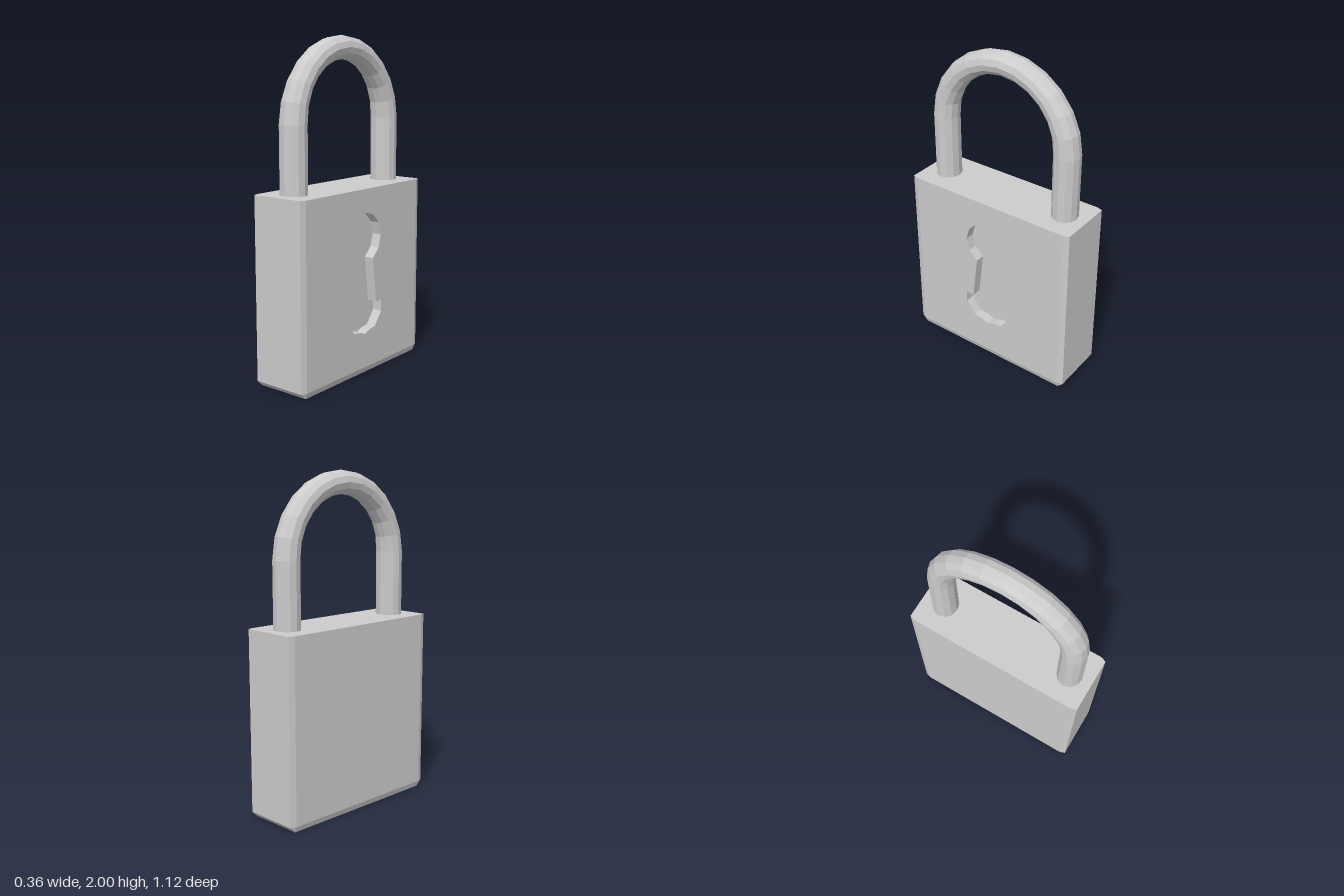
import * as THREE from 'three';

const material = new THREE.MeshStandardMaterial({ color: 0xcccccc, flatShading: true });

// Body half sizes, bevel insets and recess depth
const X = 0.18, Z = 0.56, XI = 0.168, ZI = 0.525, BEVEL = 0.035, TOP = 1.12, DEPTH = 0.06;

// Collects triangles from 3-number corners, dropping collapsed ones
function surface() {
  const data = [];
  const same = (a, b) => a.every((v, i) => v === b[i]);
  const tri = (a, b, c) => {
    if (!same(a, b) && !same(b, c) && !same(a, c)) data.push(...a, ...b, ...c);
  };
  const quad = (a, b, c, d) => { tri(a, b, c); tri(a, c, d); };
  const geometry = () => {
    const g = new THREE.BufferGeometry();
    g.setAttribute('position', new THREE.Float32BufferAttribute(data, 3));
    g.computeVertexNormals();
    return g;
  };
  return { tri, quad, geometry };
}

function mesh(name, geometry) {
  const m = new THREE.Mesh(geometry, material);
  m.name = name;
  return m;
}

// Keyhole outline, counterclockwise, as right half plus its mirror
function keyholeOutline() {
  const half = [[0, 0.245], [0.045, 0.262], [0.1, 0.268], [0.163, 0.35], [0.163, 0.42], [0.11, 0.42]];
  for (let deg = -60; deg <= 90; deg += 30) {
    const a = THREE.MathUtils.degToRad(deg);
    half.push([0.153 * Math.cos(a), 0.827 + 0.153 * Math.sin(a)]);
  }
  const mirrored = half.slice(1, -1).reverse().map(([u, y]) => [-u, y]);
  return [...half, ...mirrored].map(([u, y]) => new THREE.Vector2(u, y));
}

// Bevelled shell, without the face that holds the keyhole
function bodyShell() {
  const s = surface();
  const ring = [[X, ZI], [X, -ZI], [XI, -Z], [-XI, -Z], [-X, -ZI], [-X, ZI], [-XI, Z], [XI, Z]];
  const top = ring.map(([x, z]) => [x, TOP, z]);
  const mid = ring.map(([x, z]) => [x, BEVEL, z]);
  const low = ring.map(([x, z]) => [Math.sign(x) * XI, 0, Math.sign(z) * ZI]);
  for (let i = 0; i < 8; i++) {
    const j = (i + 1) % 8;
    s.quad(low[i], low[j], mid[j], mid[i]);
    if (i > 0) s.quad(mid[i], mid[j], top[j], top[i]);
    s.tri(top[0], top[i], top[j]);
    s.tri(low[0], low[j], low[i]);
  }
  return s.geometry();
}

// Side walls of the keyhole recess
function keyholeWalls(outline) {
  const s = surface();
  outline.forEach((p, i) => {
    const q = outline[(i + 1) % outline.length];
    s.quad([X, p.y, -p.x], [X, q.y, -q.x], [X - DEPTH, q.y, -q.x], [X - DEPTH, p.y, -p.x]);
  });
  return s.geometry();
}

// Open cylinder bent into two straight legs and a half-circle arch
function shackleGeometry() {
  const arcSteps = 12, rows = arcSteps + 2;
  const g = new THREE.CylinderGeometry(1, 1, rows, 12, rows, true);
  const pos = g.attributes.position;
  for (let i = 0; i < pos.count; i++) {
    const row = Math.round(pos.getY(i) + rows / 2);
    const a = Math.PI * THREE.MathUtils.clamp((row - 1) / arcSteps, 0, 1);
    const base = row === 0 || row === rows ? TOP - 0.03 : 1.51;
    const thin = 1 - 0.1 * Math.sin(a);
    const reach = 0.42 + 0.077 * thin * pos.getZ(i);
    pos.setXYZ(i, 0.083 * thin * pos.getX(i), base + reach * Math.sin(a), reach * Math.cos(a));
  }
  g.computeVertexNormals();
  return g;
}

export function createModel() {
  const group = new THREE.Group();
  group.name = 'padlock';
  const outline = keyholeOutline();

  // Body face with the keyhole cut out
  const face = new THREE.Shape([
    new THREE.Vector2(-ZI, BEVEL), new THREE.Vector2(ZI, BEVEL),
    new THREE.Vector2(ZI, TOP), new THREE.Vector2(-ZI, TOP),
  ]);
  face.holes.push(new THREE.Path(outline));
  const flat = (shape, x) => new THREE.ShapeGeometry(shape).rotateY(Math.PI / 2).translate(x, 0, 0);

  const body = new THREE.Group();
  body.name = 'body';
  body.add(
    mesh('bodyShell', bodyShell()),
    mesh('keyholeFace', flat(face, X)),
    mesh('keyholeWalls', keyholeWalls(outline)),
    mesh('keyholeFloor', flat(new THREE.Shape(outline), X - DEPTH)),
  );

  group.add(body, mesh('shackle', shackleGeometry()));
  return group;
}
